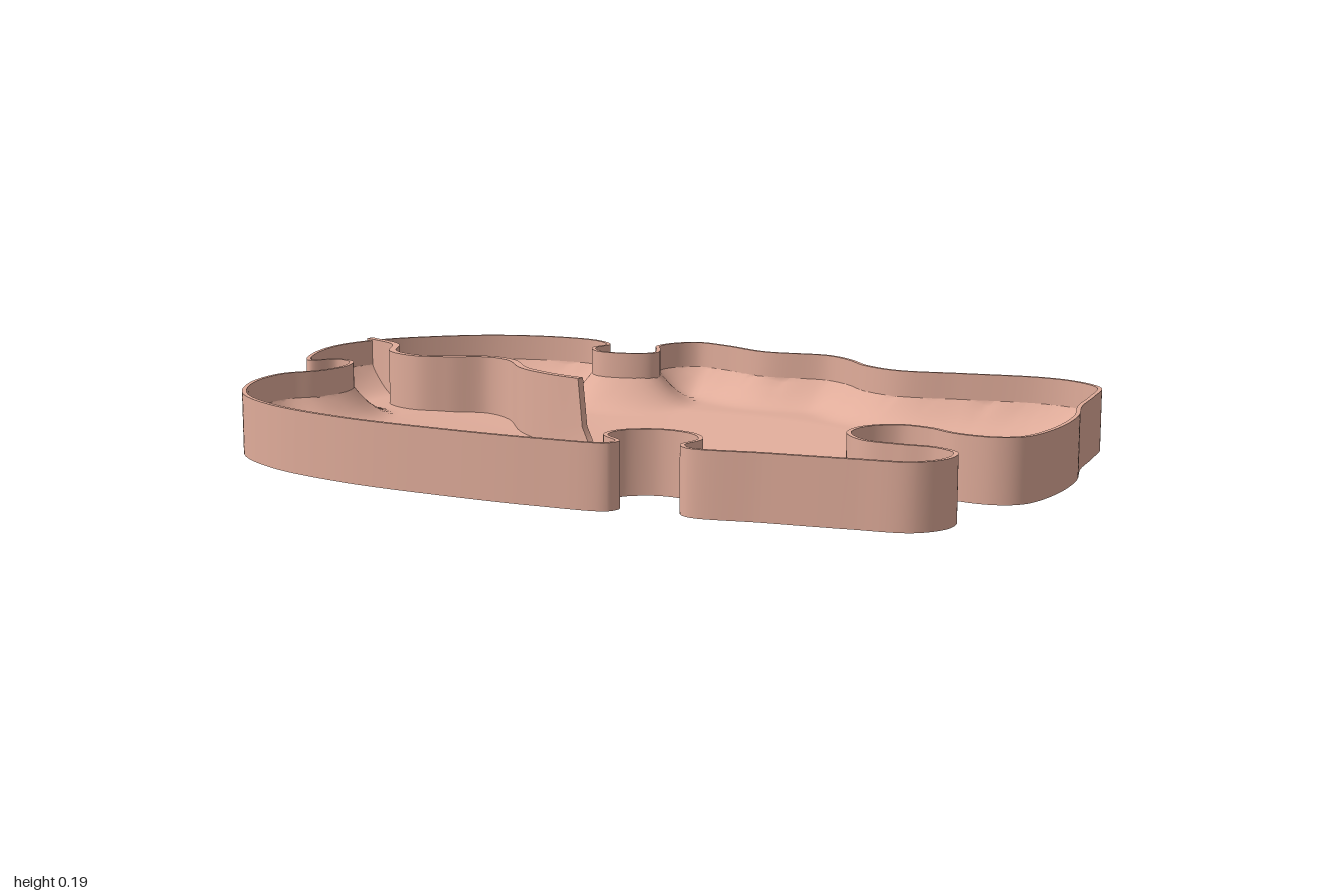
import * as THREE from 'three';

const BASE = 0.04, TOP = 0.185, WALL = 0.01, COVE = 0.1, COVE_RISE = 0.07;
const DOME = { x: -0.05, rx: 0.68, rz: 0.43 };

// Tray outline as x, z pairs, clockwise from above, starting left of the side notch
const OUTLINE = [
  [-0.94, -0.04], [-0.99, -0.16], [-0.99, -0.29], [-0.93, -0.41], [-0.82, -0.51], [-0.69, -0.585],
  [-0.53, -0.62], [-0.4, -0.605], [-0.34, -0.55], [-0.355, -0.49], [-0.32, -0.442], [-0.24, -0.44],
  [-0.19, -0.47], [-0.2, -0.52], [-0.22, -0.57], [-0.2, -0.63], [-0.14, -0.67], [-0.05, -0.645],
  [0.07, -0.59], [0.235, -0.595], [0.31, -0.55], [0.375, -0.48], [0.465, -0.44], [0.62, -0.455],
  [0.81, -0.47], [0.9, -0.445], [0.97, -0.38], [0.98, -0.26], [0.98, -0.13], [0.998, 0],
  [0.985, 0.16], [0.945, 0.27], [0.89, 0.3], [0.8, 0.29], [0.73, 0.25], [0.66, 0.24],
  [0.6, 0.285], [0.59, 0.355], [0.64, 0.42], [0.72, 0.435], [0.8, 0.44], [0.855, 0.48],
  [0.855, 0.55], [0.8, 0.61], [0.67, 0.625], [0.49, 0.635], [0.33, 0.645], [0.3, 0.61],
  [0.315, 0.545], [0.28, 0.495], [0.2, 0.478], [0.13, 0.515], [0.12, 0.565], [0.17, 0.62],
  [0.155, 0.655], [0, 0.663], [-0.24, 0.645], [-0.5, 0.605], [-0.715, 0.53], [-0.85, 0.425],
  [-0.915, 0.27], [-0.905, 0.15], [-0.845, 0.08], [-0.82, 0], [-0.84, -0.065], [-0.885, -0.08],
];

// Height of the shallow bulge under the tray
function bulge(x, z) {
  const e = 0.3, r = Math.min(1, Math.hypot((x - DOME.x) / DOME.rx, z / DOME.rz));
  return BASE * (Math.hypot(r, e) - e) / (Math.hypot(1, e) - e);
}

// Smooth surface through rows of [x, y, z] points
function loft(rows, closed) {
  const n = rows[0].length, index = [];
  for (let r = 0; r < rows.length - 1; r++) {
    for (let i = 0; i < (closed ? n : n - 1); i++) {
      const j = (i + 1) % n, a = r * n + i, b = r * n + j;
      index.push(a, a + n, b, b, a + n, b + n);
    }
  }
  return build(rows.flat(), index);
}

function build(points, index) {
  const g = new THREE.BufferGeometry();
  g.setAttribute('position', new THREE.Float32BufferAttribute(points.flat(), 3));
  g.setIndex(index);
  g.computeVertexNormals();
  return g;
}

function smoothPath(pairs, closed, count) {
  const curve = new THREE.CatmullRomCurve3(pairs.map(([x, z]) => new THREE.Vector3(x, 0, z)), closed, 'centripetal');
  const pts = curve.getPoints(count).map(p => [p.x, p.z]);
  if (closed) pts.pop();
  return pts;
}

// Sideways shift of a path, to the right of travel
function offset(pts, d, closed) {
  const n = pts.length;
  return pts.map(([x, z], i) => {
    const a = pts[closed ? (i + n - 1) % n : Math.max(0, i - 1)];
    const b = pts[closed ? (i + 1) % n : Math.min(n - 1, i + 1)];
    const tx = b[0] - a[0], tz = b[1] - a[1], l = Math.hypot(tx, tz);
    return [x - tz / l * d, z + tx / l * d];
  });
}

const atHeight = (pts, y) => pts.map(([x, z]) => [x, y, z]);

function isInside(x, z, poly) {
  let inside = false;
  for (let i = 0, j = poly.length - 1; i < poly.length; j = i++) {
    const [ax, az] = poly[i], [bx, bz] = poly[j];
    if ((az > z) !== (bz > z) && x < (bx - ax) * (z - az) / (bz - az) + ax) inside = !inside;
  }
  return inside;
}

function nearest(x, z, poly) {
  let best = null, d2 = Infinity;
  for (const p of poly) {
    const d = (p[0] - x) ** 2 + (p[1] - z) ** 2;
    if (d < d2) { d2 = d; best = p; }
  }
  return [best, Math.sqrt(d2)];
}

// Inner floor: a height field that sweeps up into the wall, its border snapped to the wall
function floorGeometry(inner) {
  const step = 0.016, nx = 128, nz = 88, points = [], inside = [], index = [];
  for (let k = 0; k <= nz; k++) {
    for (let i = 0; i <= nx; i++) {
      let x = (i - nx / 2) * step, z = (k - nz / 2) * step;
      let [p, d] = nearest(x, z, inner);
      const within = isInside(x, z, inner);
      if (!within) { [x, z] = p; d = 0; }
      inside.push(within);
      points.push([x, bulge(x, z) + 0.012 + COVE_RISE * Math.max(0, 1 - d / COVE) ** 2, z]);
    }
  }
  for (let k = 0; k < nz; k++) {
    for (let i = 0; i < nx; i++) {
      const a = k * (nx + 1) + i, b = a + 1, c = a + nx + 1, d = c + 1;
      if (inside[a] || inside[b] || inside[c] || inside[d]) index.push(a, c, b, b, c, d);
    }
  }
  return build(points, index);
}

export function createModel() {
  const model = new THREE.Group();
  model.name = 'tray';
  const clay = new THREE.MeshStandardMaterial({ color: 0xe0ac9a, side: THREE.DoubleSide });
  clay.name = 'pinkClay';
  const add = (name, geometry, parent = model) => {
    const mesh = new THREE.Mesh(geometry, clay);
    mesh.name = name;
    parent.add(mesh);
  };

  // Thin upright wall around the tray
  const outer = smoothPath(OUTLINE, true, 660);
  const inner = offset(outer, WALL, true);
  add('outerWall', loft([atHeight(outer, BASE), atHeight(outer, TOP)], true));
  add('rim', loft([atHeight(outer, TOP), atHeight(inner, TOP)], true));
  add('innerWall', loft([atHeight(inner, TOP), atHeight(inner, BASE + 0.012 + COVE_RISE - 0.005)], true));
  add('floor', floorGeometry(inner));

  // Underside: flat border with a shallow dome in its middle
  const ring = r => Array.from({ length: 96 }, (_, i) => {
    const t = i / 96 * Math.PI * 2;
    return [DOME.x + DOME.rx * r * Math.cos(t), -DOME.rz * r * Math.sin(t)];
  });
  const border = new THREE.Shape(outer.map(([x, z]) => new THREE.Vector2(x, z)));
  border.holes.push(new THREE.Path(ring(1).map(([x, z]) => new THREE.Vector2(x, z))));
  add('undersideBorder', new THREE.ShapeGeometry(border).rotateX(Math.PI / 2).translate(0, BASE, 0));
  const domeRows = Array.from({ length: 15 }, (_, i) =>
    ring(1 - i / 14).map(([x, z]) => [x, bulge(x, z), z]));
  add('undersideDome', loft(domeRows, true));

  // Wavy divider with a foot that sweeps out along the floor at its free end
  const divider = new THREE.Group();
  divider.name = 'divider';
  model.add(divider);
  const wave = [[-0.957, -0.395], [-0.85, -0.33], [-0.8, -0.225], [-0.715, -0.185], [-0.635, -0.2],
    [-0.54, -0.235], [-0.465, -0.21], [-0.385, -0.115], [-0.29, -0.06]];
  const side = d => [[0, 1], [0.12, 0.55], [0.35, 0.2], [1, 0]].map(([h, pull]) => {
    const path = smoothPath([...wave, [-0.2 + 0.065 * pull, -0.03 + 0.03 * pull]], false, 72);
    return offset(path, d, false).map(([x, z]) => {
      const low = bulge(x, z) + 0.008;
      return [x, low + (0.189 - low) * h, z];
    });
  });
  const back = side(-0.009), front = side(0.009);
  add('dividerBack', loft(back, false), divider);
  add('dividerFront', loft([...front].reverse(), false), divider);
  add('dividerTop', loft([back[3], front[3]], false), divider);
  for (const [name, i] of [['dividerWallEnd', 0], ['dividerFreeEnd', 72]]) {
    const pair = [back.map(r => r[i]), front.map(r => r[i])];
    add(name, loft(i ? pair : pair.reverse(), false), divider);
  }
  return model;
}
